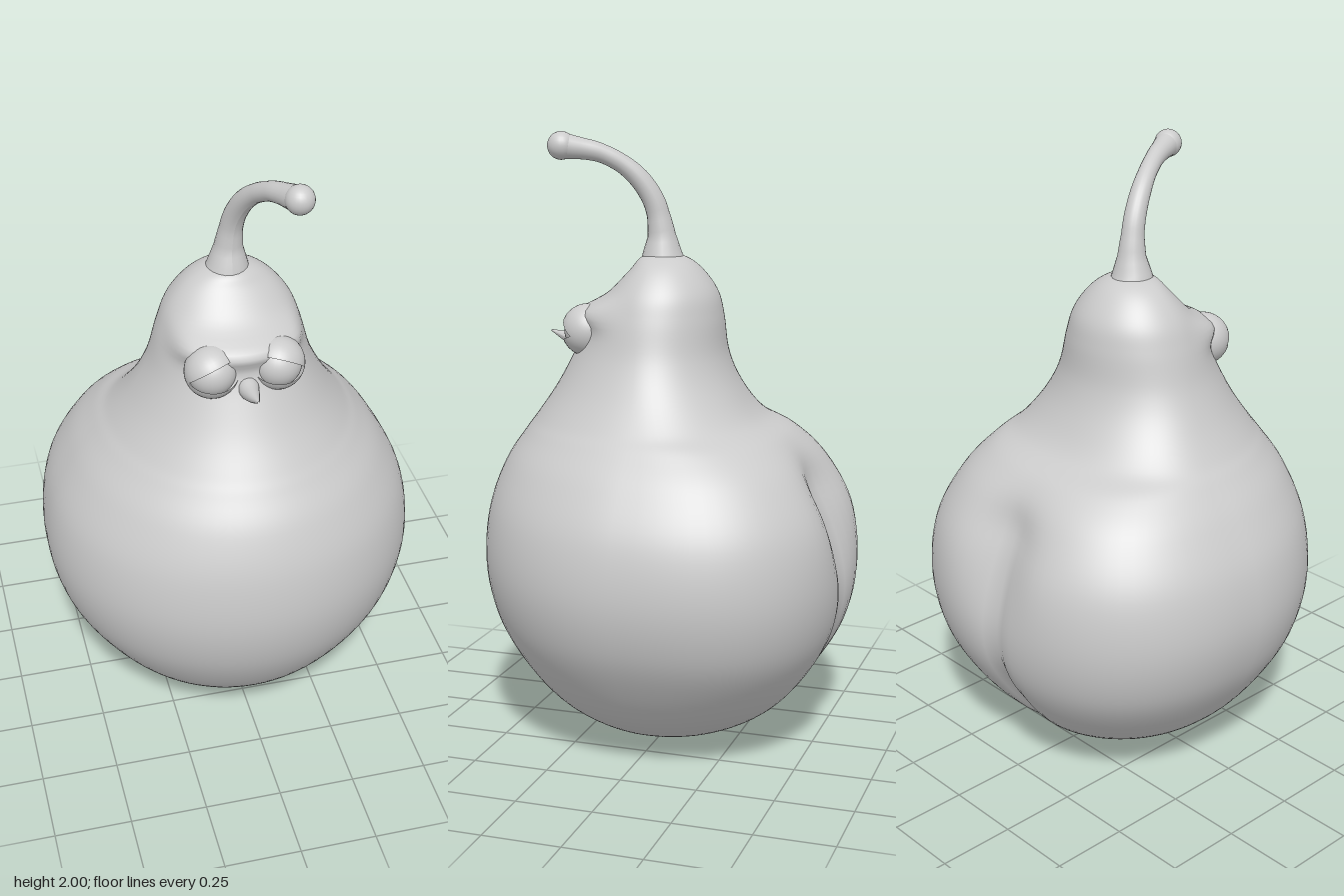
import * as THREE from 'three';

const material = new THREE.MeshStandardMaterial({ color: 0xcccccc });
const lidMaterial = new THREE.MeshStandardMaterial({ color: 0xcccccc, side: THREE.DoubleSide });
const { smoothstep } = THREE.MathUtils;
const bell = (v, centre, width) => Math.exp(-(((v - centre) / width) ** 2));

function addMesh(parent, name, geometry, mat = material) {
  const mesh = new THREE.Mesh(geometry, mat);
  mesh.name = name;
  parent.add(mesh);
  return mesh;
}

// Pear body: rings with half width, front reach, back reach and centre z
const PROFILE = [
  // y, half width, front z, back z, centre z
  [0, 0.002, 0.002, -0.002, 0],
  [0.015, 0.13, 0.13, -0.13, 0],
  [0.06, 0.262, 0.26, -0.275, 0],
  [0.15, 0.392, 0.39, -0.41, 0],
  [0.28, 0.5, 0.497, -0.517, 0],
  [0.43, 0.583, 0.575, -0.59, 0],
  [0.6, 0.617, 0.61, -0.615, 0],
  [0.78, 0.592, 0.597, -0.592, 0],
  [0.93, 0.515, 0.545, -0.512, 0],
  [1.03, 0.435, 0.48, -0.41, 0],
  [1.085, 0.385, 0.44, -0.305, 0.01],
  [1.18, 0.32, 0.375, -0.235, 0.02],
  [1.29, 0.265, 0.315, -0.19, 0.03],
  [1.41, 0.23, 0.255, -0.175, 0.035],
  [1.49, 0.198, 0.19, -0.155, 0.03],
  [1.56, 0.142, 0.125, -0.105, 0.025],
  [1.6, 0.08, 0.09, -0.05, 0.025],
  [1.615, 0.002, 0.027, 0.023, 0.025],
];

function bodyGeometry(rings = 100, sides = 80) {
  const spline = (pick) => new THREE.CatmullRomCurve3(
    PROFILE.map((row) => new THREE.Vector3(...pick(row))), false, 'catmullrom', 0.5);
  const widths = spline(([y, w, , , c]) => [w, y, c]);
  const depths = spline(([y, , f, b]) => [f, y, b]);
  const positions = [], indices = [];
  for (let i = 0; i <= rings; i++) {
    const { x: w, y, z: centre } = widths.getPoint(i / rings);
    const { x: front, z: back } = depths.getPoint(i / rings);
    // Squarer back in the middle of the body
    const n = 2 + 0.5 * smoothstep(y, 0, 0.4) * (1 - smoothstep(y, 0.95, 1.25));
    for (let j = 0; j < sides; j++) {
      const a = (j / sides) * Math.PI * 2;
      const s = Math.sin(a), c = Math.cos(a), x = w * s;
      let z;
      if (c >= 0) {
        z = centre + (front - centre) * c;
        // Brow ridge above the eyes
        z += 0.055 * bell(y, 1.425, 0.04) * smoothstep(c, 0.15, 0.65);
      } else {
        z = centre + (back - centre) * Math.max(0, 1 - Math.abs(s) ** n) ** (1 / n);
        // Cleft: a broad valley above, running down into a sharp fold
        const fold = 0.03 * smoothstep(y, 0.05, 0.2) * (1 - smoothstep(y, 0.6, 1)) + 0.025 * bell(y, 0.25, 0.13);
        const valley = 0.07 * bell(y, 0.85, 0.24) * (1 - smoothstep(y, 0.85, 1.09));
        z += (fold * Math.exp(-Math.abs(x) / 0.045) + valley * bell(x, 0, 0.14)) * smoothstep(-c, 0, 0.5);
      }
      positions.push(x, Math.max(0, y), z);
      if (i < rings) {
        const k = (j + 1) % sides;
        const p = i * sides + j, q = i * sides + k;
        indices.push(p, q, p + sides, q, q + sides, p + sides);
      }
    }
  }
  const geometry = new THREE.BufferGeometry();
  geometry.setAttribute('position', new THREE.Float32BufferAttribute(positions, 3));
  geometry.setIndex(indices);
  geometry.computeVertexNormals();
  return geometry;
}

// Tube whose radius follows a list of values spread along its path
function taperedTube(points, radii, segments = 32, sides = 20) {
  const curve = new THREE.CatmullRomCurve3(points.map((p) => new THREE.Vector3(...p)));
  const geometry = new THREE.TubeGeometry(curve, segments, 1, sides);
  const pos = geometry.attributes.position;
  const v = new THREE.Vector3();
  for (let i = 0; i <= segments; i++) {
    const centre = curve.getPointAt(i / segments);
    const t = (i / segments) * (radii.length - 1);
    const k = Math.min(Math.floor(t), radii.length - 2);
    const radius = THREE.MathUtils.lerp(radii[k], radii[k + 1], t - k);
    for (let j = 0; j <= sides; j++) {
      const id = i * (sides + 1) + j;
      v.fromBufferAttribute(pos, id).sub(centre).multiplyScalar(radius).add(centre);
      pos.setXYZ(id, v.x, v.y, v.z);
    }
  }
  geometry.computeVertexNormals();
  return geometry;
}

// Eyeball with an upper and a lower lid hinged about its middle
function createEye(side) {
  const eye = new THREE.Group();
  eye.name = side > 0 ? 'leftEye' : 'rightEye';
  addMesh(eye, 'eyeball', new THREE.SphereGeometry(0.077, 32, 24));
  const lid = new THREE.SphereGeometry(0.086, 32, 12, 0, Math.PI * 2, 0, Math.PI / 2);
  const upper = addMesh(eye, 'upperLid', lid, lidMaterial);
  upper.rotation.set(-0.6, 0, -side * 0.35);
  const lower = addMesh(eye, 'lowerLid', lid, lidMaterial);
  lower.rotation.set(Math.PI + 0.38, 0, 0);
  eye.position.set(side * 0.104, 1.365, 0.246);
  return eye;
}

export function createModel() {
  const model = new THREE.Group();
  model.name = 'pearCreature';
  addMesh(model, 'body', bodyGeometry());

  // Curved stem with a flared foot and a round tip
  const stemPath = [
    [0, 1.6, 0.025], [0.004, 1.68, 0.028], [0.015, 1.78, 0.05],
    [0.042, 1.87, 0.11], [0.085, 1.93, 0.2], [0.14, 1.955, 0.315],
  ];
  addMesh(model, 'stem', taperedTube(stemPath, [0.068, 0.046, 0.037, 0.035, 0.033, 0.03, 0.03, 0.034, 0.042]));
  const tip = addMesh(model, 'stemTip', new THREE.SphereGeometry(0.045, 24, 16));
  tip.position.set(0.14, 1.955, 0.317);

  model.add(createEye(1), createEye(-1));

  // Small upturned pointed beak
  const beakPath = [[0, 1.32, 0.25], [0, 1.315, 0.31], [0, 1.325, 0.36], [0, 1.343, 0.415]];
  addMesh(model, 'beak', taperedTube(beakPath, [0.036, 0.032, 0.018, 0.003], 16, 16));
  return model;
}
